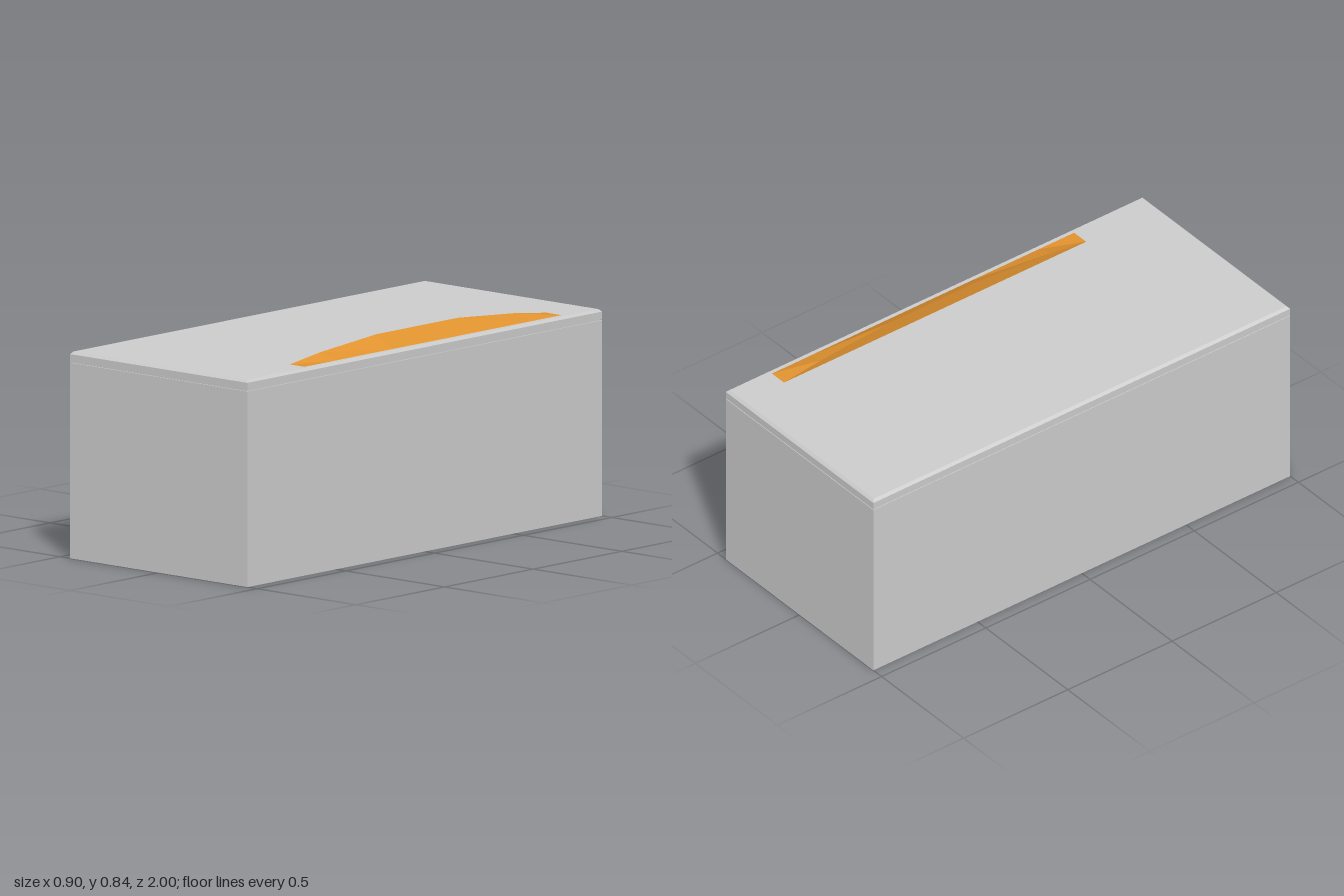
import * as THREE from 'three';

const W = 0.9, L = 2;
const grey = new THREE.MeshStandardMaterial({ color: 0xcccccc, flatShading: true });
const orange = new THREE.MeshStandardMaterial({ color: 0xe0922f, flatShading: true });

function addMesh(group, name, geometry, material, y = 0) {
  const mesh = new THREE.Mesh(geometry, material);
  mesh.name = name;
  mesh.position.y = y;
  group.add(mesh);
}

// Slab whose upper rim is chamfered all round
function chamferedSlab(height, chamfer) {
  const geometry = new THREE.BoxGeometry(W, height, L, 1, 2, 1);
  const p = geometry.attributes.position;
  for (let i = 0; i < p.count; i++) {
    const y = p.getY(i);
    if (y > 0.001) {
      p.setX(i, p.getX(i) - Math.sign(p.getX(i)) * chamfer);
      p.setZ(i, p.getZ(i) - Math.sign(p.getZ(i)) * chamfer);
    } else if (y > -0.001) {
      p.setY(i, height / 2 - chamfer);
    }
  }
  geometry.computeVertexNormals();
  return geometry;
}

// Ridge with an upright arched inner face and a sloping outer face
function archedWedge(profile, inner, outer, base) {
  const pos = [];
  const tri = (...points) => points.forEach((q) => pos.push(...q));
  for (let i = 0; i < profile.length - 1; i++) {
    const [z0, y0] = profile[i], [z1, y1] = profile[i + 1];
    const top0 = [inner, y0, z0], top1 = [inner, y1, z1];
    const in0 = [inner, base, z0], in1 = [inner, base, z1];
    const out0 = [outer, base, z0], out1 = [outer, base, z1];
    tri(top0, out0, out1, top0, out1, top1); // slope
    tri(in0, top0, top1, in0, top1, in1); // upright face
    tri(in0, in1, out1, in0, out1, out0); // underside
  }
  const geometry = new THREE.BufferGeometry();
  geometry.setAttribute('position', new THREE.Float32BufferAttribute(pos, 3));
  geometry.computeVertexNormals();
  return geometry;
}

export function createModel() {
  const model = new THREE.Group();
  model.name = 'chest';

  addMesh(model, 'body', new THREE.BoxGeometry(W, 0.75, L), grey, 0.375);

  // Narrow seam between body and lid
  addMesh(model, 'seam', new THREE.BoxGeometry(W - 0.01, 0.01, L - 0.01), grey, 0.752);

  addMesh(model, 'lid', chamferedSlab(0.04, 0.01), grey, 0.773);

  // Arched handle along the right-hand edge of the lid: [z, y] points
  const arch = [[0.65, 0.794], [0.48, 0.817], [0.16, 0.843], [-0.3, 0.843], [-0.62, 0.817], [-0.8, 0.794]];
  addMesh(model, 'handle', archedWedge(arch, 0.35, 0.423, 0.7935), orange);

  return model;
}
